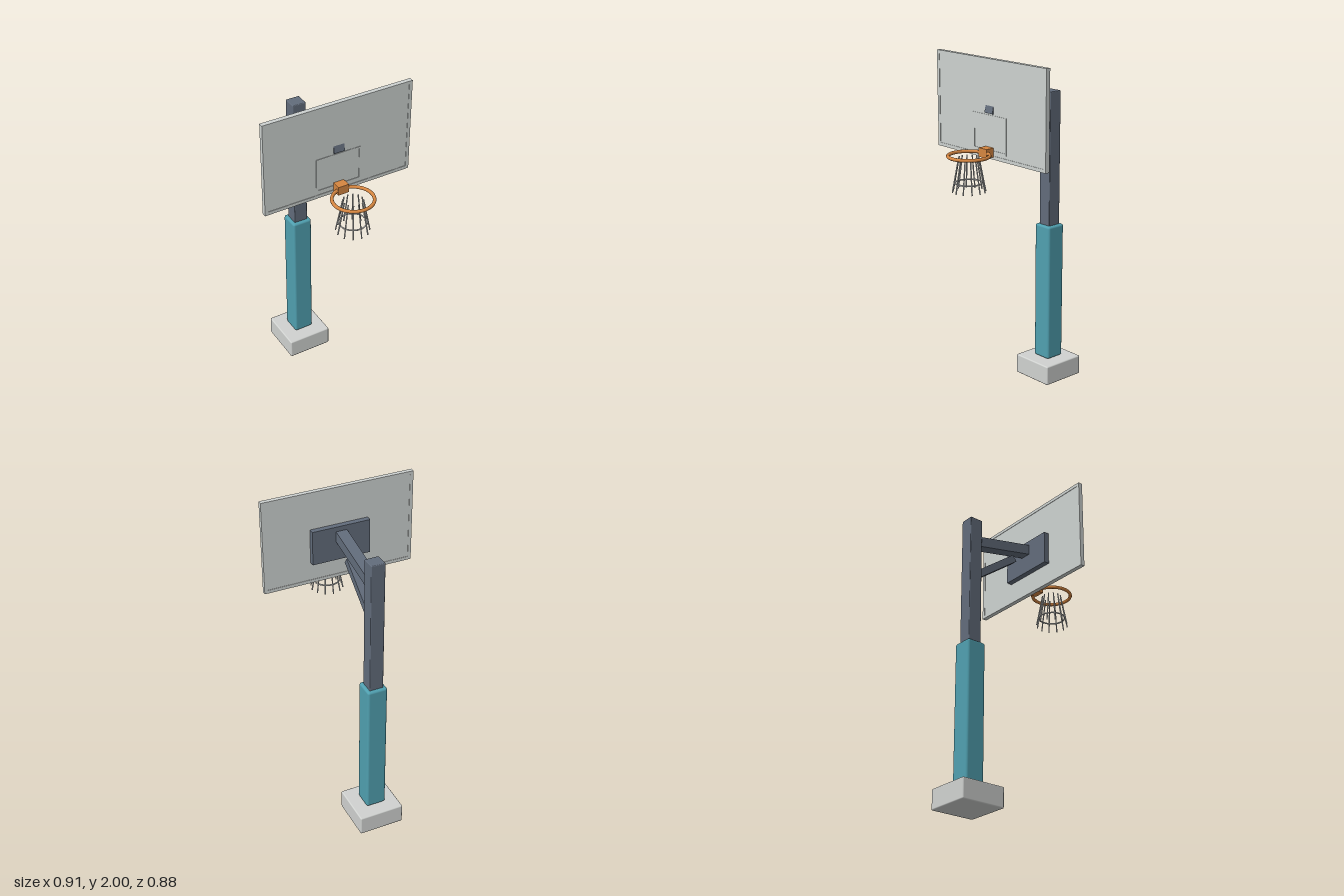
import * as THREE from 'three';
import { RoundedBoxGeometry } from 'three/addons/geometries/RoundedBoxGeometry.js';

const mat = (name, color) => {
  const m = new THREE.MeshStandardMaterial({ color });
  m.name = name;
  return m;
};

export function createModel() {
  const concrete = mat('pale concrete', 0xd0d2d0);
  const white = mat('board white', 0xcdd2d0);
  const teal = mat('teal padding', 0x50a0b0);
  const steel = mat('slate steel', 0x626c7b);
  const orange = mat('orange rim', 0xd68640);
  const cord = mat('net cord', 0xd0d2d1);

  const model = new THREE.Group();
  model.name = 'basketballHoop';

  const add = (name, geo, material, x = 0, y = 0, z = 0, parent = model) => {
    const mesh = new THREE.Mesh(geo, material);
    mesh.name = name;
    mesh.position.set(x, y, z);
    parent.add(mesh);
    return mesh;
  };
  const rounded = (w, h, d, r) => new RoundedBoxGeometry(w, h, d, 2, r);

  // Straight bar in the YZ plane between two [y, z] points
  const bar = (name, a, b, width, thick) => {
    const dy = b[0] - a[0], dz = b[1] - a[1];
    const mesh = add(name, new THREE.BoxGeometry(width, thick, Math.hypot(dy, dz)), steel,
      0, (a[0] + b[0]) / 2, (a[1] + b[1]) / 2);
    mesh.rotation.x = -Math.atan2(dy, dz);
  };

  // Rectangular frame as an extruded outline with a hole
  const frame = (w, h, border, depth) => {
    const rect = (T, x, y) => new T([[-x, -y], [x, -y], [x, y], [-x, y]]
      .map(p => new THREE.Vector2(...p)));
    const shape = rect(THREE.Shape, w / 2, h / 2);
    shape.holes.push(rect(THREE.Path, w / 2 - border, h / 2 - border));
    return new THREE.ExtrudeGeometry(shape, { depth, bevelEnabled: false });
  };

  // Base, post and padding
  const postZ = -0.304;
  add('base', rounded(0.276, 0.12, 0.276, 0.008), concrete, 0, 0.06, postZ);
  add('post', rounded(0.084, 1.66, 0.084, 0.005), steel, 0, 0.94, postZ);
  add('postPadding', rounded(0.122, 0.845, 0.122, 0.014), teal, 0, 0.545, postZ);

  // Support arm, brace and mounting plate
  bar('supportArm', [1.624, -0.3], [1.728, 0.165], 0.066, 0.062);
  bar('brace', [1.395, -0.3], [1.62, 0], 0.052, 0.044);
  add('mountingPlate', new THREE.BoxGeometry(0.35, 0.205, 0.035), steel, 0, 1.673, 0.125);

  // Backboard with raised border and target square
  add('backboard', new THREE.BoxGeometry(0.88, 0.53, 0.022), white, 0, 1.72, 0.1515);
  add('backboardBorder', frame(0.91, 0.56, 0.02, 0.027), white, 0, 1.72, 0.138);
  add('targetSquare', frame(0.28, 0.21, 0.012, 0.004), white, 0, 1.583, 0.161);

  // Rim and bracket
  const hoop = new THREE.Group();
  hoop.name = 'hoop';
  hoop.position.set(0, 1.48, 0.315);
  model.add(hoop);
  add('rim', new THREE.TorusGeometry(0.115, 0.01, 10, 40).rotateX(Math.PI / 2), orange, 0, 0, 0, hoop);
  add('rimBracket', new THREE.BoxGeometry(0.066, 0.052, 0.054), orange, 0, 0, -0.126, hoop);

  // Net: twelve splayed cords tied by one ring
  const net = new THREE.Group();
  net.name = 'net';
  hoop.add(net);
  add('netRing', new THREE.TorusGeometry(0.077, 0.0045, 6, 32).rotateX(Math.PI / 2), cord, 0, -0.152, 0, net);
  const top = [0.056, -0.006], bottom = [0.094, -0.204];
  const length = Math.hypot(bottom[0] - top[0], bottom[1] - top[1]);
  const tilt = Math.atan2(bottom[0] - top[0], top[1] - bottom[1]);
  const cordGeo = new THREE.CylinderGeometry(0.004, 0.004, length, 6)
    .rotateZ(tilt)
    .translate((top[0] + bottom[0]) / 2, (top[1] + bottom[1]) / 2, 0);
  for (let i = 0; i < 12; i++) {
    add('netCord', cordGeo, cord, 0, 0, 0, net).rotation.y = (i * Math.PI) / 6;
  }

  return model;
}
